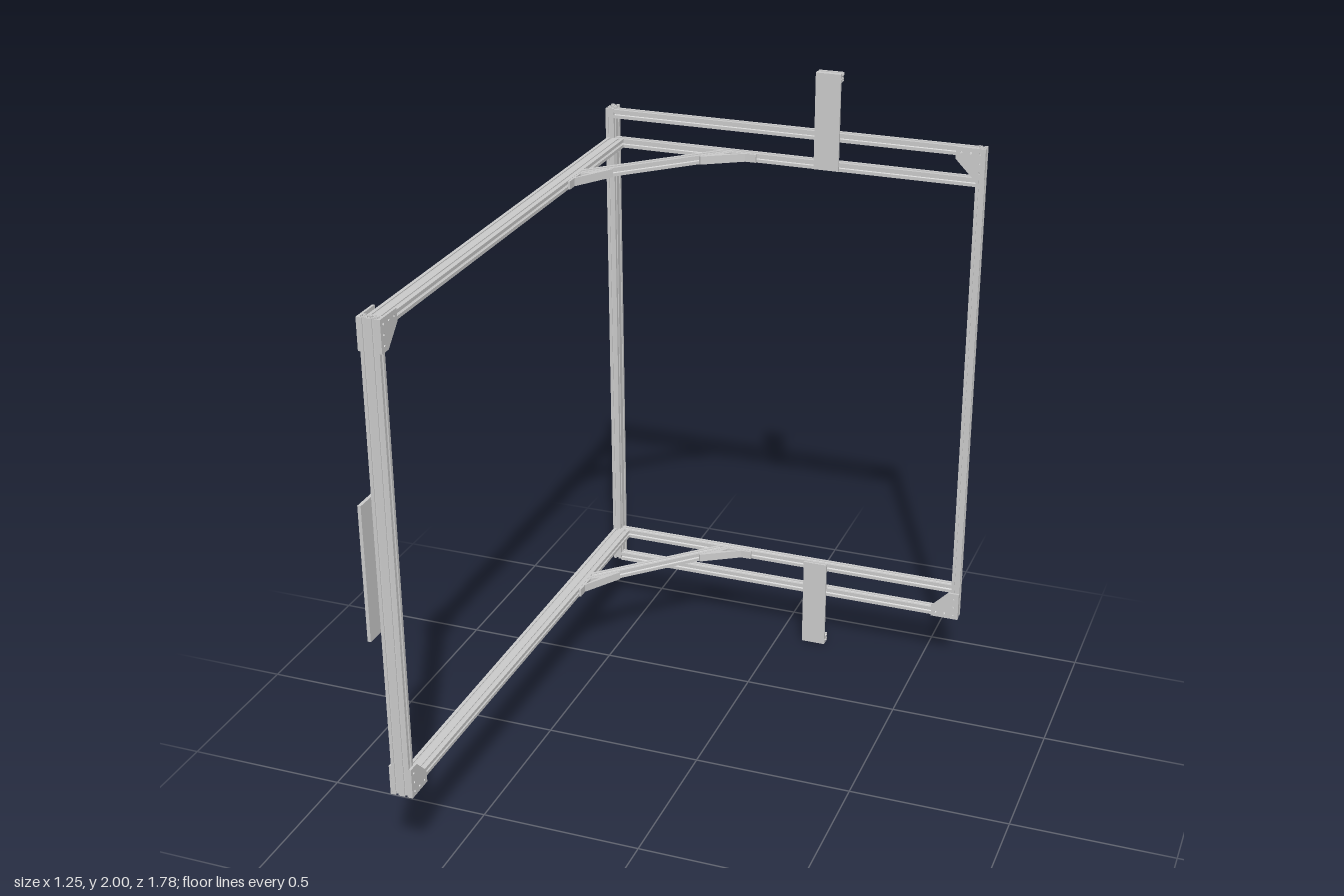
import * as THREE from 'three';

const S = 0.028;                       // profile width
const material = new THREE.MeshStandardMaterial({ color: 0xcccccc, side: THREE.DoubleSide });

// Slotted square profile, one side repeated four times around a bored core
function slotProfile() {
  const side = [[-0.5, 0.5], [-0.14, 0.5], [-0.14, 0.41], [-0.29, 0.41], [-0.29, 0.35], [-0.11, 0.2],
    [0.11, 0.2], [0.29, 0.35], [0.29, 0.41], [0.14, 0.41], [0.14, 0.5]];
  const pts = [];
  for (let i = 0; i < 4; i++) {
    const a = -i * Math.PI / 2;
    for (const [x, y] of side) pts.push(new THREE.Vector2(x * S, y * S).rotateAround(new THREE.Vector2(), a));
  }
  const shape = new THREE.Shape(pts);
  shape.holes.push(new THREE.Path().absarc(0, 0, 0.1 * S, 0, Math.PI * 2, true));
  return shape;
}

export function createModel() {
  const model = new THREE.Group();
  model.name = 'slottedProfileFrame';
  const profile = slotProfile();

  const add = (name, geometry, x, y, z) => {
    const mesh = new THREE.Mesh(geometry, material);
    mesh.name = name;
    mesh.position.set(x, y, z);
    model.add(mesh);
    return mesh;
  };

  // Profile bar between two points; miter cuts both ends at 45 degrees
  const bar = (name, from, to, miter = false) => {
    const a = new THREE.Vector3(...from), b = new THREE.Vector3(...to);
    const length = a.distanceTo(b);
    const geo = new THREE.ExtrudeGeometry(profile, { depth: length, bevelEnabled: false, curveSegments: 8 });
    geo.translate(0, 0, -length / 2);
    if (miter) {
      const p = geo.attributes.position;
      for (let i = 0; i < p.count; i++) p.setZ(i, p.getZ(i) - Math.sign(p.getZ(i)) * p.getX(i));
      geo.computeVertexNormals();
    }
    const mid = a.add(b).multiplyScalar(0.5);
    add(name, geo, mid.x, mid.y, mid.z).lookAt(b);
  };

  // Corner plate with a clipped inner corner and bolt holes
  const gussetGeometry = (su, sv) => {
    const v = ([x, y]) => new THREE.Vector2(x * su, y * sv);
    const shape = new THREE.Shape([[0, 0], [0.092, 0], [0.092, 0.038], [0.036, 0.095], [0, 0.095]].map(v));
    for (const h of [[0.016, 0.016], [0.046, 0.016], [0.076, 0.016], [0.016, 0.046], [0.016, 0.076]]) {
      const c = v(h);
      shape.holes.push(new THREE.Path().absarc(c.x, c.y, 0.004, 0, Math.PI * 2, true));
    }
    return new THREE.ExtrudeGeometry(shape, { depth: 0.007, bevelEnabled: false, curveSegments: 6 });
  };

  // Bent bracket at a brace end, measured from the inner corner of the two beams
  const bracketGeometry = (swap) => {
    const v = ([a, b]) => swap ? new THREE.Vector2(b, a) : new THREE.Vector2(a, b);
    const outer = [[0.366, 0], [0.45, 0], [0.45, 0.007], [0.415, 0.007], [0.345, 0.051], [0.293, 0.084], [0.287, 0.079]];
    const shape = new THREE.Shape(outer.map(v));
    shape.holes.push(new THREE.Path([[0.369, 0.007], [0.405, 0.007], [0.35, 0.034]].map(v)));
    return new THREE.ExtrudeGeometry(shape, { depth: 0.026, bevelEnabled: false }).rotateX(Math.PI / 2);
  };

  // Back frame posts: a double one at the hinge corner, a single one opposite
  const yTop = 1.815, yLow = 0.19;
  for (const z of [-0.845, -0.873]) bar('backRightPost', [-0.601, yLow, z], [-0.601, yTop, z]);
  bar('backLeftPost', [0.611, yLow, -0.845], [0.611, yTop, -0.845]);

  // Front post, double width
  for (const x of [-0.597, -0.569]) bar('frontPost', [x, 0.27, 0.831], [x, 1.73, 0.831]);

  // Everything repeated at the top and at the bottom
  for (const s of [1, -1]) {
    const at = (d) => 1 + s * d;
    const yBeam = at(0.705);

    // Horizontal beams of the back frame
    bar('backOuterBeam', [-0.587, at(0.799), -0.845], [0.597, at(0.799), -0.845]);
    bar('backInnerBeam', [-0.587, yBeam, -0.845], [0.597, yBeam, -0.845]);

    // Double side beam and diagonal brace
    for (const x of [-0.597, -0.569]) bar('sideBeam', [x, yBeam, -0.831], [x, yBeam, 0.817]);
    bar('diagonalBrace', [-0.555, yBeam, -0.485], [-0.209, yBeam, -0.831], true);
    for (const swap of [false, true]) add('braceBracket', bracketGeometry(swap), -0.555, yBeam + 0.013, -0.831);

    // Corner plates
    add('backCornerPlate', gussetGeometry(-1, -s), 0.625, at(0.814), -0.831);
    for (const x of [-0.611, -0.548]) {
      add('frontCornerPlate', gussetGeometry(-1, -s), x, at(0.73), 0.845).rotation.y = -Math.PI / 2;
    }

    // Upright mounting strap with a short profile at its end
    add('mountStrap', new THREE.BoxGeometry(0.08, 0.307, 0.008), 0.125, at(0.8465), -0.827);
    bar('mountProfile', [0.085, at(0.986), -0.845], [0.165, at(0.986), -0.845]);
  }

  // Flat panel on the outside of the front post
  add('sidePanel', new THREE.BoxGeometry(0.01, 0.415, 0.122), -0.622, 1.003, 0.832);

  return model;
}
